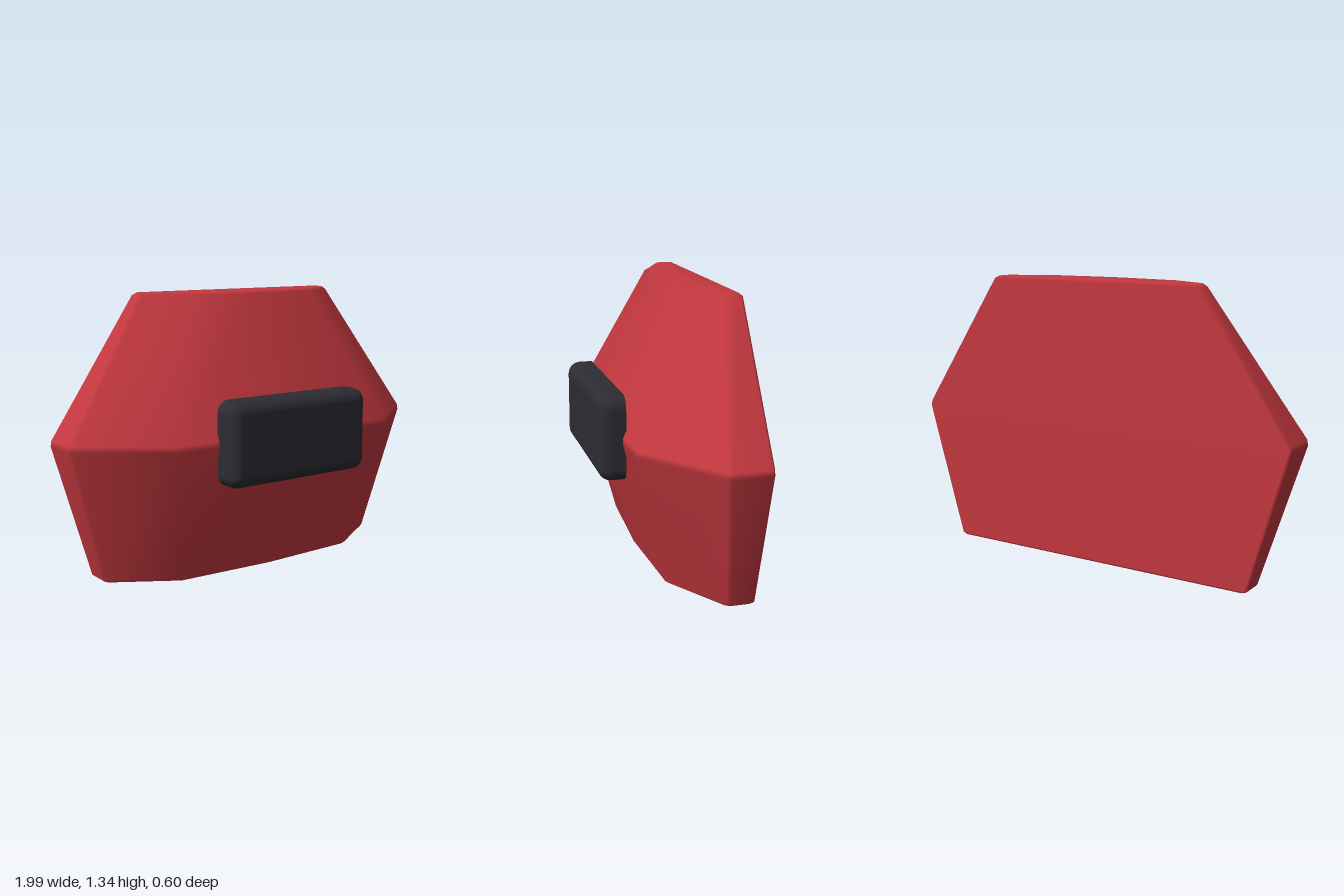
import * as THREE from 'three';
import { RoundedBoxGeometry } from 'three/addons/geometries/RoundedBoxGeometry.js';

const BACK = -0.3, BEVEL = 0.012;

// Horizontal outline, counter-clockwise seen from above, with bevelled corners
function outline({ y, side, sideZ, inner, innerZ, frontZ, inset = 0 }) {
  const W = side - inset, b = BACK + inset;
  const half = [
    [inner - inset * 0.5, innerZ - inset],
    [W - BEVEL, sideZ + BEVEL * 0.8],
    [W, sideZ - BEVEL * 0.8],
    [W, b + BEVEL],
    [W - BEVEL, b],
  ];
  const mirrored = half.map(([x, z]) => [-x, z]).reverse();
  return [[0, frontZ - inset], ...half, ...mirrored].map(([x, z]) => new THREE.Vector3(x, y, z));
}

function mix(a, b, t) {
  const out = {};
  for (const k of Object.keys(a)) out[k] = THREE.MathUtils.lerp(a[k], b[k], t);
  return out;
}

// Closed loft through the outlines, normals weighted by face area
function loft(rings) {
  const n = rings[0].length, points = rings.flat(), index = [];
  for (let r = 0; r < rings.length - 1; r++) {
    for (let i = 0; i < n; i++) {
      const a = r * n + i, b = r * n + (i + 1) % n;
      index.push(a, b, b + n, a, b + n, a + n);
    }
  }
  const bottom = points.length, top = bottom + 1, last = (rings.length - 1) * n;
  for (const ring of [rings[0], rings[rings.length - 1]]) {
    points.push(new THREE.Vector3(0, ring[0].y, (ring[0].z + BACK) / 2));
  }
  for (let i = 0; i < n; i++) {
    const j = (i + 1) % n;
    index.push(bottom, j, i, top, last + i, last + j);
  }
  const geometry = new THREE.BufferGeometry().setFromPoints(points);
  geometry.setIndex(index);
  geometry.computeVertexNormals();
  return geometry;
}

export function createModel() {
  const red = new THREE.MeshStandardMaterial({ name: 'red', color: 0xc4383f });
  const charcoal = new THREE.MeshStandardMaterial({ name: 'charcoal', color: 0x2c2c33 });
  const model = new THREE.Group();
  model.name = 'model';

  // Faceted body: base, ridge and top
  const base = { y: 0, side: 0.805, sideZ: -0.18, inner: 0.5, innerZ: 0.02, frontZ: 0.045 };
  const ridge = { y: 0.67, side: 1, sideZ: -0.105, inner: 0.62, innerZ: 0.19, frontZ: 0.22 };
  const crown = { y: 1.335, side: 0.55, sideZ: -0.22, inner: 0.345, innerZ: -0.105, frontZ: -0.075 };
  const body = new THREE.Mesh(loft([
    outline({ ...base, inset: BEVEL }),
    outline(mix(base, ridge, 0.018)),
    outline(mix(base, ridge, 0.98)),
    outline(mix(ridge, crown, 0.02)),
    outline(mix(ridge, crown, 0.982)),
    outline({ ...crown, inset: BEVEL }),
  ]), red);
  body.name = 'body';
  model.add(body);

  // Front pad: rounded box with its back cut flat
  const padGeometry = new RoundedBoxGeometry(0.8, 0.4, 0.18, 4, 0.06);
  padGeometry.translate(0, 0.67, 0.21);
  const position = padGeometry.attributes.position;
  for (let i = 0; i < position.count; i++) position.setZ(i, Math.max(position.getZ(i), 0.18));
  const pad = new THREE.Mesh(padGeometry, charcoal);
  pad.name = 'frontPad';
  model.add(pad);

  return model;
}
